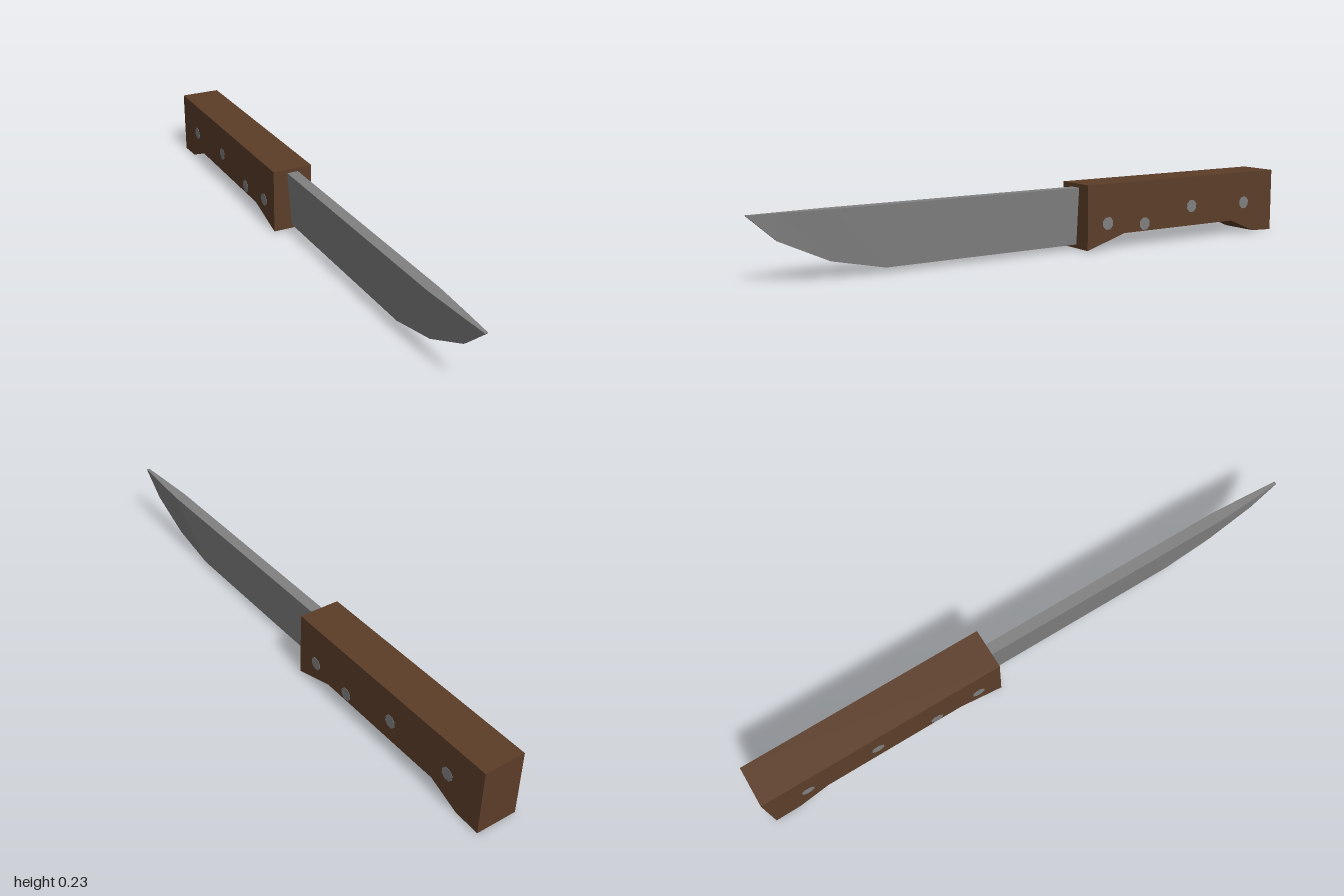
import * as THREE from 'three';

const steel = new THREE.MeshStandardMaterial({ name: 'steel grey', color: 0x808080 });
const wood = new THREE.MeshStandardMaterial({ name: 'wood brown', color: 0x5c3d28 });

// Tapered blade lofted through wedge-shaped sections: [z, bottom y, half width of the spine]
function bladeGeometry() {
  const spineY = 0.213, edge = 0.005;
  const sections = [
    [-0.16, 0.016, 0.02], [0.57, 0.016, 0.02], [0.75, 0.055, 0.02],
    [0.91, 0.13, 0.011], [1, 0.211, 0.005],
  ];
  const positions = [], index = [];
  for (const [z, y, w] of sections) {
    positions.push(-w, spineY, z, -edge, y, z, edge, y, z, w, spineY, z);
  }
  const quad = (a, b, c, d) => index.push(a, b, c, a, c, d);
  for (let i = 0; i < sections.length - 1; i++) {
    for (let j = 0; j < 4; j++) {
      const k = (j + 1) % 4;
      quad(i * 4 + j, i * 4 + k, i * 4 + 4 + k, i * 4 + 4 + j);
    }
  }
  const last = (sections.length - 1) * 4;
  quad(3, 2, 1, 0);
  quad(last, last + 1, last + 2, last + 3);
  const indexed = new THREE.BufferGeometry();
  indexed.setAttribute('position', new THREE.Float32BufferAttribute(positions, 3));
  indexed.setIndex(index);
  const geometry = indexed.toNonIndexed();
  geometry.computeVertexNormals();
  return geometry;
}

// Side profile of the grip, drawn as (-z, y) and extruded across x
function handleGeometry(halfWidth) {
  const profile = [
    [0.145, 0.003], [0.3, 0.05], [0.8, 0.05], [0.91, 0.004],
    [1, 0], [1, 0.226], [0.145, 0.226],
  ];
  const shape = new THREE.Shape(profile.map(([s, y]) => new THREE.Vector2(s, y)));
  const geometry = new THREE.ExtrudeGeometry(shape, { depth: halfWidth * 2, bevelEnabled: false });
  geometry.translate(0, 0, -halfWidth);
  geometry.rotateY(Math.PI / 2);
  return geometry;
}

export function createModel() {
  const model = new THREE.Group();
  model.name = 'knife';
  const halfWidth = 0.071;

  const add = (name, geometry, material) => {
    const mesh = new THREE.Mesh(geometry, material);
    mesh.name = name;
    model.add(mesh);
    return mesh;
  };

  add('blade', bladeGeometry(), steel);
  add('handle', handleGeometry(halfWidth), wood);

  // Rivets pass right through the handle and sit almost flush
  const rivet = new THREE.CylinderGeometry(0.023, 0.023, halfWidth * 2 + 0.002, 8);
  rivet.rotateY(Math.PI / 8);
  rivet.rotateZ(Math.PI / 2);
  [[-0.23, 0.09], [-0.39, 0.075], [-0.605, 0.12], [-0.86, 0.113]].forEach(([z, y], i) => {
    add(`rivet${i + 1}`, rivet, steel).position.set(0, y, z);
  });

  return model;
}
